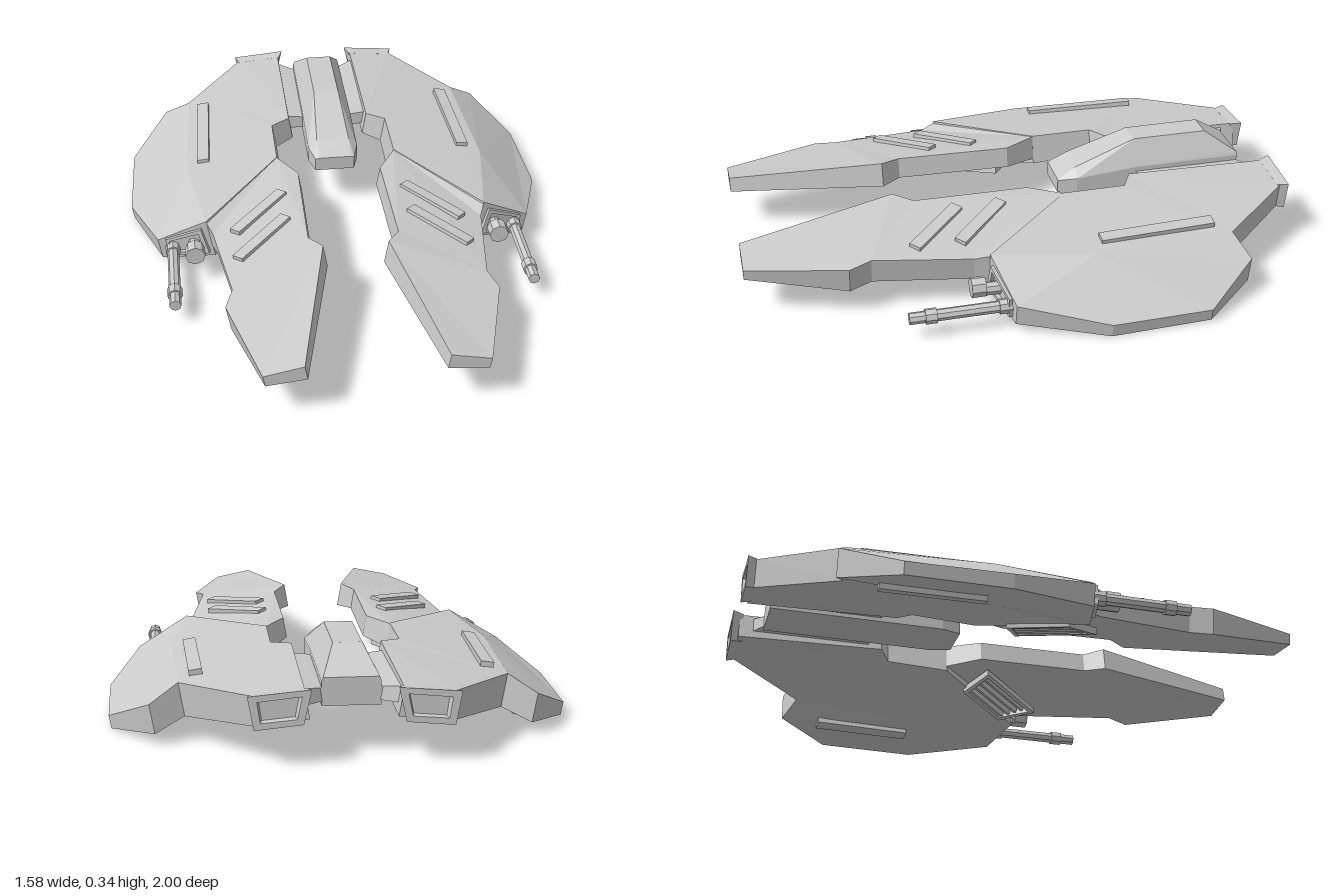
import * as THREE from 'three';
import { ConvexGeometry } from 'three/addons/geometries/ConvexGeometry.js';

const material = new THREE.MeshStandardMaterial({ color: 0xcccccc, flatShading: true, side: THREE.DoubleSide });

function add(parent, name, geometry, position = [0, 0, 0], rotation = [0, 0, 0]) {
  const mesh = new THREE.Mesh(geometry, material);
  mesh.name = name;
  mesh.position.set(...position);
  mesh.rotation.set(...rotation);
  parent.add(mesh);
  return mesh;
}

// Creased plate. Points are [x, top y, z, bottom y]; the walls lean with the wing's slope.
function plate(points, panels, outline) {
  const top = {}, bottom = {}, out = [];
  for (const [key, [x, y, z, low]] of Object.entries(points)) {
    top[key] = new THREE.Vector3(x, y, z);
    bottom[key] = new THREE.Vector3(x - 0.17 * (y - low), low, z);
  }
  const push = (...corners) => corners.forEach((v) => out.push(v.x, v.y, v.z));
  for (const panel of panels) {
    const contour = [...panel].map((k) => new THREE.Vector2(top[k].x, -top[k].z));
    for (const tri of THREE.ShapeUtils.triangulateShape(contour, [])) {
      let [a, b, c] = tri.map((i) => panel[i]);
      const up = top[b].clone().sub(top[a]).cross(top[c].clone().sub(top[a])).y;
      if (up < 0) [b, c] = [c, b];
      push(top[a], top[b], top[c]);
      push(bottom[a], bottom[c], bottom[b]);
    }
  }
  let loop = [...outline];
  const area = THREE.ShapeUtils.area(loop.map((k) => new THREE.Vector2(top[k].x, -top[k].z)));
  if (area < 0) loop.reverse();
  loop.forEach((a, i) => {
    const b = loop[(i + 1) % loop.length];
    push(bottom[a], bottom[b], top[b]);
    push(bottom[a], top[b], top[a]);
  });
  const geometry = new THREE.BufferGeometry();
  geometry.setAttribute('position', new THREE.Float32BufferAttribute(out, 3));
  geometry.computeVertexNormals();
  return geometry;
}

// Flat frame with an opening, extruded along z
function frame(outer, inner, depth) {
  const toPoints = (list) => list.map(([x, y]) => new THREE.Vector2(x, y));
  const shape = new THREE.Shape(toPoints(outer));
  shape.holes.push(new THREE.Path(toPoints(inner)));
  return new THREE.ExtrudeGeometry(shape, { depth, bevelEnabled: false });
}

// Thin strip lying on a sloped surface
function strip(parent, name, length, position, turn, slope, width = 0.045) {
  const holder = new THREE.Group();
  holder.name = name;
  holder.position.set(...position);
  holder.rotation.z = slope;
  add(holder, name, new THREE.BoxGeometry(width, 0.024, length), [0, 0, 0], [0, turn, 0]);
  parent.add(holder);
}

function barrel(parent, name, radius, from, to, x, y) {
  const geometry = new THREE.CylinderGeometry(radius, radius, to - from, 8).rotateX(Math.PI / 2);
  add(parent, name, geometry, [x, y, (from + to) / 2]);
}

function buildSide() {
  const side = new THREE.Group();

  // Main wing, with the outer panel folded down
  add(side, 'wing', plate({
    A: [0.155, 0.245, -0.975, 0.15], B: [0.32, 0.23, -0.975, 0.13], C: [0.545, 0.2, -0.7, 0.085],
    D: [0.57, 0.2, -0.19, 0.055], E: [0.51, 0.213, 0.17, 0.06], J: [0.64, 0.14, -0.74, 0.04],
    K: [0.78, 0.048, -0.55, 0.003], L: [0.79, 0.05, -0.19, 0], M: [0.69, 0.11, 0.12, 0.03],
    G: [0.225, 0.25, -0.17, 0.14], H: [0.225, 0.25, -0.4, 0.15], I: [0.155, 0.255, -0.44, 0.165],
  }, ['ABCDEGHI', 'CJKLMED'], 'ABCJKLMEGHI'));

  // Forward prong
  add(side, 'prong', plate({
    G: [0.225, 0.248, -0.17, 0.16], N: [0.155, 0.25, -0.05, 0.175], O: [0.16, 0.255, 0.37, 0.18],
    P: [0.115, 0.267, 0.44, 0.178], Q: [0.235, 0.213, 1, 0.16], R: [0.37, 0.185, 1, 0.145],
    S: [0.468, 0.195, 0.65, 0.1], T: [0.44, 0.205, 0.57, 0.11], U: [0.49, 0.19, 0.22, 0.1],
    E: [0.51, 0.205, 0.17, 0.1],
  }, ['GUE', 'GNOPTU', 'PST', 'PQRS'], 'GNOPQRSTUE'));

  // Raised strips above and below
  strip(side, 'wingStrip', 0.42, [0.495, 0.214, -0.435], 0.04, -0.14);
  strip(side, 'lowerWingStrip', 0.36, [0.62, 0.032, -0.42], 0.04, -0.24);
  for (const z of [0.16, 0.32]) strip(side, 'prongStrip', 0.265, [0.318, 0.229, z], Math.PI / 4, -0.17);

  // Louvred vent under the joint of wing and prong
  const vent = new THREE.Group();
  vent.name = 'vent';
  vent.position.set(0.345, 0.112, 0.045);
  vent.rotation.set(Math.PI / 2, 0, 0.86);
  vent.rotation.order = 'XYZ';
  const slope = new THREE.Group();
  slope.name = 'ventSlope';
  slope.rotation.set(0, 0, -0.26);
  slope.position.copy(vent.position);
  const turn = new THREE.Group();
  turn.name = 'ventTurn';
  turn.rotation.y = 0.7;
  add(turn, 'ventFrame', frame(
    [[-0.09, -0.15], [0.05, -0.12], [0.05, 0.12], [-0.09, 0.17]],
    [[-0.075, -0.13], [0.036, -0.105], [0.036, 0.105], [-0.075, 0.15]], 0.025,
  ).rotateX(Math.PI / 2));
  for (let i = 0; i < 4; i++) {
    add(turn, 'ventSlat', new THREE.BoxGeometry(0.012, 0.02, 0.26 - i * 0.012), [-0.06 + i * 0.028, -0.012, 0], [0, 0, 0.4]);
  }
  slope.add(turn);
  side.add(slope);

  // Flared exhaust frame at the tail
  const nozzle = frame(
    [[0.135, 0.252], [0.335, 0.235], [0.315, 0.125], [0.16, 0.14]],
    [[0.165, 0.23], [0.305, 0.216], [0.295, 0.148], [0.18, 0.158]], 0.04,
  );
  const pos = nozzle.attributes.position;
  for (let i = 0; i < pos.count; i++) {
    if (pos.getZ(i) > 0.02) pos.setXY(i, 0.237 + (pos.getX(i) - 0.237) * 0.85, 0.19 + (pos.getY(i) - 0.19) * 0.9);
  }
  nozzle.computeVertexNormals();
  add(side, 'exhaust', nozzle, [0, 0, -1]);

  // Gun mount on the wing's front face
  add(side, 'gunMount', frame(
    [[-0.085, -0.05], [0.078, -0.036], [0.06, 0.034], [-0.085, 0.055]],
    [[-0.07, -0.035], [0.06, -0.026], [0.048, 0.024], [-0.07, 0.038]], 0.02,
  ), [0.592, 0.105, 0.138], [0, 0.27, -0.27]);

  // Long outer gun
  barrel(side, 'longGunBase', 0.027, 0.1, 0.17, 0.637, 0.083);
  barrel(side, 'longGunBarrel', 0.021, 0.1, 0.48, 0.637, 0.083);
  barrel(side, 'longGunCollar', 0.027, 0.385, 0.425, 0.637, 0.083);

  // Short inner gun
  barrel(side, 'shortGunBarrel', 0.024, 0.1, 0.25, 0.557, 0.108);
  barrel(side, 'shortGunCollar', 0.036, 0.2, 0.25, 0.557, 0.12);

  // Bridge from the wing to the central body
  add(side, 'bridge', plate({
    a: [0.08, 0.225, -0.89, 0.18], b: [0.1, 0.225, -0.89, 0.18], c: [0.165, 0.235, -0.93, 0.18],
    d: [0.165, 0.235, -0.49, 0.18], e: [0.08, 0.225, -0.49, 0.18],
  }, ['abcde'], 'abcde'));
  return side;
}

export function createModel() {
  const model = new THREE.Group();
  model.name = 'ship';

  // Central body from cross-sections: z, bottom half width, shoulder half width and y, top half width and y
  const sections = [
    [-0.89, 0.095, 0.095, 0.245, 0.09, 0.258], [-0.77, 0.095, 0.095, 0.245, 0.048, 0.34],
    [-0.49, 0.095, 0.095, 0.245, 0.048, 0.34], [-0.26, 0.095, 0.095, 0.225, 0.062, 0.257],
    [-0.19, 0.075, 0.075, 0.215, 0.06, 0.218],
  ];
  const points = [];
  for (const [z, low, mid, midY, top, topY] of sections) {
    for (const s of [-1, 1]) {
      points.push(new THREE.Vector3(s * low, 0.165, z), new THREE.Vector3(s * mid, midY, z), new THREE.Vector3(s * top, topY, z));
    }
  }
  add(model, 'centralBody', new ConvexGeometry(points));

  // Mirrored halves
  for (const sign of [1, -1]) {
    const half = buildSide();
    half.name = sign > 0 ? 'leftHalf' : 'rightHalf';
    half.scale.x = sign;
    model.add(half);
  }
  return model;
}
